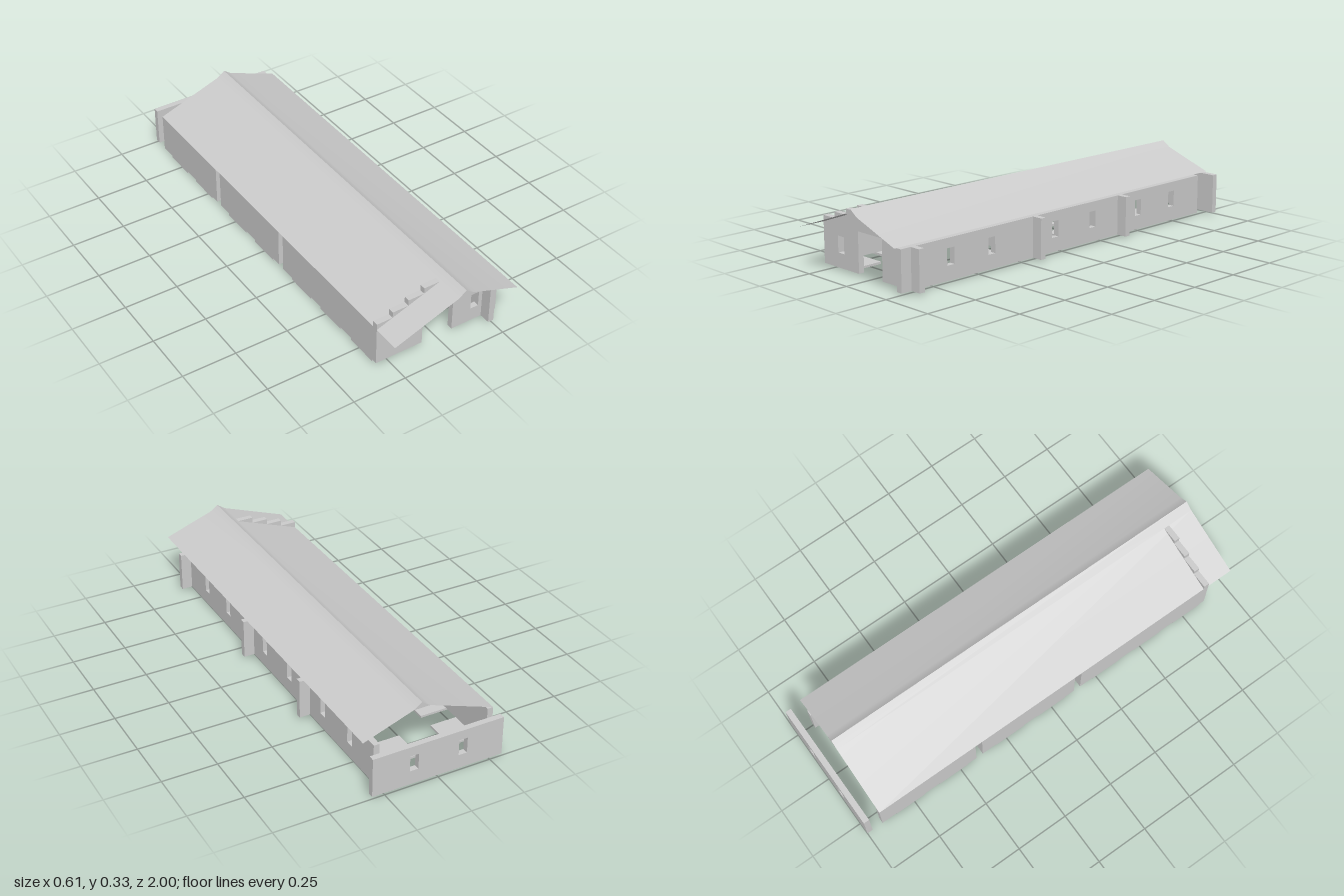
import * as THREE from 'three';

const U = 0.0768; // planning grid
const T = 0.027; // wall thickness
const Y0 = 0.01, Y1 = 0.193; // wall foot and head
const WIN = [0.075, 0.149]; // window sill and head

export function createModel() {
  const group = new THREE.Group();
  const mat = new THREE.MeshStandardMaterial({ color: 0xcccccc, flatShading: true });
  const roofMat = new THREE.MeshStandardMaterial({ color: 0xcccccc, side: THREE.DoubleSide });

  const add = (name, geo, material = mat) => {
    const mesh = new THREE.Mesh(geo, material);
    mesh.name = name;
    group.add(mesh);
    return mesh;
  };
  const box = (name, x0, x1, y0, y1, z0, z1) =>
    add(name, new THREE.BoxGeometry(x1 - x0, y1 - y0, z1 - z0))
      .position.set((x0 + x1) / 2, (y0 + y1) / 2, (z0 + z1) / 2);

  // Wall outline in its own plane, with a window hole at each centre
  const wall = (name, outline, windows) => {
    const shape = new THREE.Shape(outline.map(([a, b]) => new THREE.Vector2(a, b)));
    for (const c of windows) {
      const [b, t] = WIN, h = 0.02;
      shape.holes.push(new THREE.Path(
        [[c - h, b], [c - h, t], [c + h, t], [c + h, b]].map(([p, q]) => new THREE.Vector2(p, q))));
    }
    return add(name, new THREE.ExtrudeGeometry(shape, { depth: T, bevelEnabled: false }));
  };
  const rect = (a, b) => [[a, Y0], [b, Y0], [b, Y1], [a, Y1]];

  // Front wall: doorway in the middle, stepped head
  const front = [[-4 * U, Y0], [-U, Y0], [-U, Y1], [U, Y1], [U, Y0], [3 * U, Y0]];
  for (let i = 0; i < 7; i++) {
    const x = (3 - i) * U;
    const y = 0.221 + 0.0277 * Math.min(i, 6 - i);
    front.push([x, y], [x - U, y]);
  }
  wall('frontWall', front, [-0.192, 0.192]).position.z = 0.846;

  // Free-standing back wall
  wall('backWall', rect(-4 * U, 4 * U), [-0.115, 0.115]).position.z = -1;

  // Left long wall with six windows
  const left = wall('leftWall', rect(-0.925, 0.92),
    [0.66, 0.43, 0.05, -0.187, -0.492, -0.725].map((z) => -z));
  left.rotation.y = Math.PI / 2; // shape x runs towards -z
  left.position.x = 3 * U;

  // Buttresses outside the left wall
  for (const z of [0.846, 0.16, -0.38]) {
    box('buttress', 3 * U + T, 4 * U, Y0, Y1, z, z + T);
  }

  // Right long wall in three lengths, with gaps between
  for (const [z0, z1] of [[-0.92, -0.415], [-0.38, 0.125], [0.16, 0.846]]) {
    box('rightWall', -4 * U, -4 * U + T, Y0, Y1, z0, z1);
  }

  // Cross walls between rooms, with a passage in the middle
  for (const z of [0.16, -0.38]) {
    box('crossWallRight', -4 * U + T, 0, Y0, Y1, z, z + T);
    box('crossWallLeft', U, 3 * U, Y0, Y1, z, z + T);
  }

  // Thin floor slabs, laid on the grid
  const slab = (x0, x1, z0, z1) => box('floorSlab', x0 * U, x1 * U, 0, Y0, z0 * U, z1 * U);
  for (const z of [9, 6, 3, -1, -4, -8, -11]) slab(-4, -2, z, z + 2);
  for (const z of [9, -1, -8]) slab(2, 3, z, z + 2);
  for (const z of [3, -4, -11]) {
    slab(-2, -1, z, z + 1);
    slab(0, 2, z, z + 2);
    slab(2, 3, z, z + 1);
  }

  // Roof slopes: thin sheets from ridge to eaves, steeper at the ridge
  const zb = -0.92, zf = 1;
  const ridge = [0.0384, 0.331];
  const slopes = [
    [ridge, [0, 0.304], [-4 * U, 0.193]],
    [[4 * U, 0.221], [U, 0.304], ridge],
  ];
  for (const profile of slopes) {
    const geo = new THREE.BufferGeometry();
    const pos = profile.flatMap(([x, y]) => [x, y, zb, x, y, zf]);
    geo.setAttribute('position', new THREE.Float32BufferAttribute(pos, 3));
    geo.setIndex([0, 2, 1, 1, 2, 3, 2, 4, 3, 3, 4, 5]);
    geo.computeVertexNormals();
    add('roofSlope', geo, roofMat);
  }

  // Small gables closing both ends of the ridge
  const gable = new THREE.Shape(
    [[0, 0.304], [U, 0.304], ridge].map(([x, y]) => new THREE.Vector2(x, y)));
  for (const z of [zb, zf]) {
    add('ridgeGable', new THREE.ShapeGeometry(gable), roofMat).position.z = z;
  }

  return group;
}
